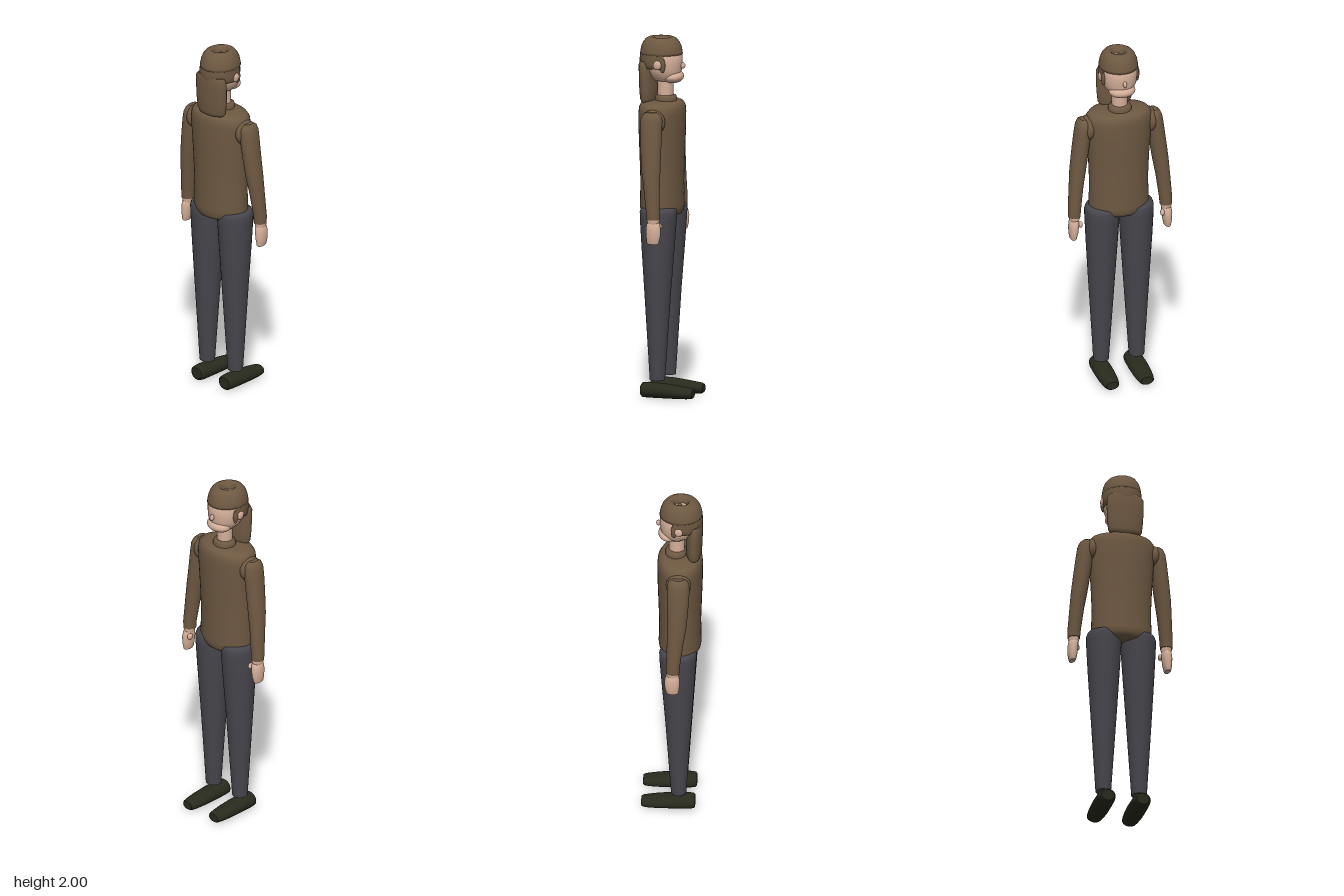
import * as THREE from 'three';

const flat = (name, color, side = THREE.FrontSide) => {
  const m = new THREE.MeshStandardMaterial({ color, side });
  m.name = name;
  return m;
};

// Skin through elliptical sections [y, cx, cz, rx, rz], bottom to top, with flat ends
function loft(sections, n = 32) {
  const pos = [], idx = [];
  const ring = ([y, cx, cz, rx, rz]) => {
    const start = pos.length / 3;
    for (let j = 0; j < n; j++) {
      const a = (j / n) * Math.PI * 2;
      pos.push(cx + rx * Math.sin(a), y, cz + rz * Math.cos(a));
    }
    return start;
  };
  const rings = sections.map(ring);
  for (let i = 0; i < rings.length - 1; i++) {
    for (let j = 0; j < n; j++) {
      const k = (j + 1) % n, a = rings[i], b = rings[i + 1];
      idx.push(a + j, a + k, b + j, a + k, b + k, b + j);
    }
  }
  [sections[0], sections[sections.length - 1]].forEach((s, end) => {
    const r = ring(s), c = pos.length / 3;
    pos.push(s[1], s[0], s[2]);
    for (let j = 0; j < n; j++) {
      const k = (j + 1) % n;
      if (end) idx.push(c, r + j, r + k);
      else idx.push(c, r + k, r + j);
    }
  });
  const g = new THREE.BufferGeometry();
  g.setAttribute('position', new THREE.Float32BufferAttribute(pos, 3));
  g.setIndex(idx);
  g.computeVertexNormals();
  return g;
}

const ball = (x, y, z, rx, ry, rz) =>
  new THREE.SphereGeometry(1, 28, 20).scale(rx, ry, rz).translate(x, y, z);

export function createModel() {
  const model = new THREE.Group();
  model.name = 'standingFigure';
  const brown = flat('brown', 0x6e5942, THREE.DoubleSide);
  const skin = flat('skin', 0xd6b09a);
  const trousers = flat('trouserGrey', 0x47464d);
  const shoeDark = flat('shoeDark', 0x282a1d);

  const add = (name, geometry, material) => {
    const m = new THREE.Mesh(geometry, material);
    m.name = name;
    model.add(m);
    return m;
  };

  // Sweater body and collar
  add('torso', loft([
    [1.01, 0, 0.04, 0.09, 0.08], [1.02, 0, 0.04, 0.135, 0.105],
    [1.04, 0, 0.04, 0.16, 0.115], [1.07, 0, 0.04, 0.17, 0.118],
    [1.2, 0, 0.04, 0.166, 0.115], [1.35, 0, 0.04, 0.172, 0.12],
    [1.5, 0, 0.04, 0.183, 0.125], [1.58, 0, 0.04, 0.188, 0.125],
    [1.615, 0, 0.04, 0.183, 0.122], [1.635, 0, 0.04, 0.165, 0.112],
    [1.647, 0, 0.035, 0.125, 0.09], [1.65, 0, 0.03, 0.07, 0.06],
  ], 40), brown);
  add('collar', loft([
    [1.63, 0, 0.018, 0.066, 0.06], [1.66, 0, 0.018, 0.066, 0.06],
    [1.675, 0, 0.018, 0.06, 0.055], [1.68, 0, 0.018, 0.045, 0.044],
  ]), brown);

  // Neck, head and face (facing -z)
  add('neck', new THREE.CylinderGeometry(0.043, 0.043, 0.14, 28).translate(0, 1.735, 0.022), skin);
  add('head', loft([
    [1.76, 0, 0.02, 0.055, 0.06], [1.785, 0, 0.025, 0.08, 0.085],
    [1.82, 0, 0.03, 0.095, 0.099], [1.86, 0, 0.035, 0.1, 0.107],
    [1.9, 0, 0.038, 0.1, 0.11], [1.93, 0, 0.04, 0.088, 0.095],
    [1.955, 0, 0.043, 0.06, 0.065], [1.965, 0, 0.045, 0.025, 0.028],
  ]), skin);
  add('jaw', ball(0, 1.783, -0.022, 0.075, 0.038, 0.058), skin);
  add('nose', ball(0, 1.845, -0.078, 0.011, 0.018, 0.014), skin);

  // Hair: dimpled cap, back band, sideburns and long rear fall
  const hairLathe = (profile, start, length) =>
    new THREE.LatheGeometry(profile.map(([r, y]) => new THREE.Vector2(r, y)), 40, start, length)
      .scale(0.11, 1, 0.12).translate(0, 0, 0.045);
  add('hairCap', hairLathe([
    [0.88, 1.905], [0.985, 1.907], [0.975, 1.92], [0.93, 1.947], [0.84, 1.973],
    [0.72, 1.99], [0.58, 1.999], [0.45, 2.0], [0.36, 1.992], [0.29, 1.975], [0.26, 1.955],
  ], 0, Math.PI * 2), brown);
  add('hairBand', hairLathe([
    [0.86, 1.83], [0.97, 1.835], [1, 1.86], [1, 1.885], [0.985, 1.908],
  ], -1.95, 3.9), brown);
  add('hairFall', loft([
    [1.632, 0, 0.117, 0.055, 0.025], [1.64, 0, 0.116, 0.083, 0.037],
    [1.66, 0, 0.116, 0.096, 0.043], [1.72, 0, 0.117, 0.102, 0.046],
    [1.8, 0, 0.12, 0.105, 0.045], [1.85, 0, 0.123, 0.104, 0.042],
    [1.87, 0, 0.123, 0.09, 0.036],
  ]), brown);
  add('crownNub', ball(0, 1.967, 0.038, 0.012, 0.014, 0.012), brown);

  // Paired parts
  for (const [side, s] of [['left', 1], ['right', -1]]) {
    add(side + 'Ear', ball(s * 0.105, 1.857, 0.037, 0.013, 0.027, 0.023), skin);
    add(side + 'Sideburn', ball(s * 0.096, 1.855, 0.01, 0.013, 0.042, 0.016), brown);

    // Arm: shoulder puff, sleeve, wrist, hand, thumb
    add(side + 'Shoulder', ball(s * 0.178, 1.55, 0.04, 0.04, 0.07, 0.07), brown);
    add(side + 'Sleeve', loft([
      [1.025, s * 0.263, 0.014, 0.034, 0.037], [1.06, s * 0.263, 0.014, 0.036, 0.038],
      [1.2, s * 0.25, 0.025, 0.04, 0.045], [1.3, s * 0.238, 0.033, 0.045, 0.053],
      [1.42, s * 0.222, 0.038, 0.047, 0.058], [1.52, s * 0.21, 0.04, 0.046, 0.062],
      [1.57, s * 0.205, 0.04, 0.043, 0.061], [1.595, s * 0.203, 0.04, 0.034, 0.052],
      [1.61, s * 0.203, 0.04, 0.018, 0.03],
    ]), brown);
    add(side + 'Wrist', loft([
      [1.0, s * 0.264, 0.012, 0.026, 0.03], [1.015, s * 0.264, 0.012, 0.03, 0.034],
      [1.045, s * 0.264, 0.012, 0.03, 0.034],
    ]), skin);
    add(side + 'Hand', loft([
      [0.888, s * 0.271, 0.012, 0.014, 0.028], [0.895, s * 0.271, 0.012, 0.019, 0.034],
      [0.93, s * 0.27, 0.01, 0.026, 0.04], [0.97, s * 0.268, 0.01, 0.029, 0.042],
      [1.0, s * 0.266, 0.011, 0.027, 0.037], [1.014, s * 0.265, 0.012, 0.018, 0.026],
    ]), skin);
    add(side + 'Thumb', ball(s * 0.236, 0.982, -0.012, 0.012, 0.018, 0.018), skin);

    // Trouser leg
    add(side + 'Leg', loft([
      [0.105, s * 0.102, 0.037, 0.043, 0.042], [0.6, s * 0.1, 0.036, 0.074, 0.074],
      [0.85, s * 0.099, 0.034, 0.089, 0.092], [1.0, s * 0.098, 0.033, 0.097, 0.102],
      [1.04, s * 0.098, 0.033, 0.097, 0.103], [1.06, s * 0.098, 0.033, 0.09, 0.096],
      [1.068, s * 0.098, 0.033, 0.07, 0.075],
    ]), trousers);

    // Shoe: sections run from heel to toe, then turned to lie along z
    add(side + 'Shoe', loft([
      [-0.128, s * 0.1, 0.047, 0.036, 0.032], [-0.12, s * 0.1, 0.047, 0.046, 0.041],
      [-0.09, s * 0.1, 0.047, 0.051, 0.043], [0, s * 0.1, 0.045, 0.054, 0.041],
      [0.08, s * 0.1, 0.04, 0.052, 0.036], [0.13, s * 0.1, 0.037, 0.047, 0.032],
      [0.158, s * 0.1, 0.036, 0.041, 0.029], [0.168, s * 0.1, 0.036, 0.033, 0.023],
    ]).rotateX(-Math.PI / 2), shoeDark);
  }
  return model;
}
